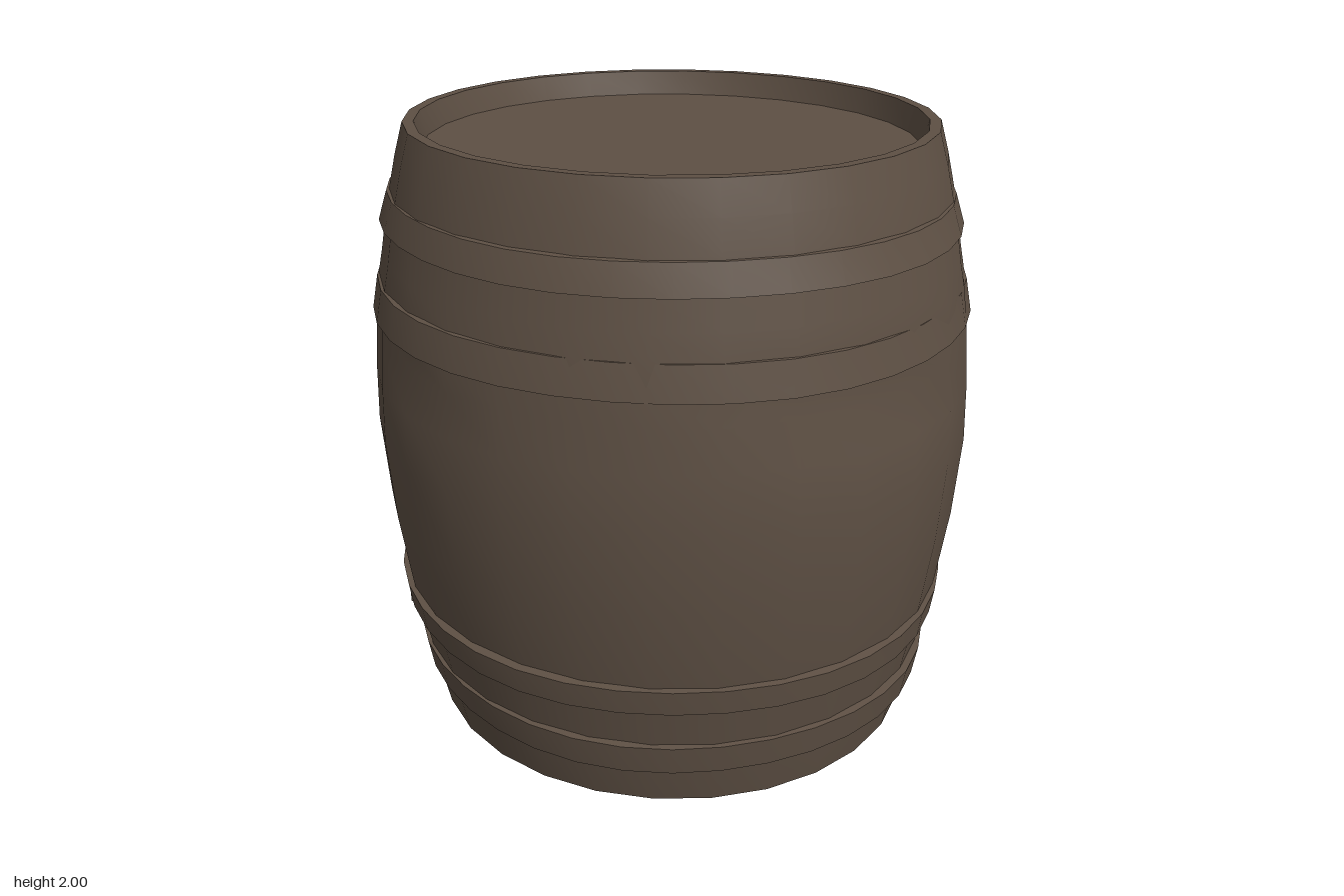
import * as THREE from 'three';
import { toCreasedNormals } from 'three/addons/utils/BufferGeometryUtils.js';

const SIDES = 28;
const DEPTH = 0.97; // the barrel is slightly narrower front to back

// Revolve a profile of [radius, y] pairs, then push the skin in and out by offset(angle, y)
function turned(points, offset, sides = SIDES) {
  const geo = new THREE.LatheGeometry(points.map(([r, y]) => new THREE.Vector2(r, y)), sides);
  const p = geo.attributes.position;
  for (let i = 0; i < p.count; i++) {
    const x = p.getX(i), y = p.getY(i), z = p.getZ(i);
    const r = Math.hypot(x, z);
    const k = r > 0.01 ? 1 + offset(Math.atan2(x, z), y) / r : 1;
    p.setXYZ(i, x * k, y, z * k * DEPTH);
  }
  return toCreasedNormals(geo, 0.6);
}

export function createModel() {
  const barrel = new THREE.Group();
  barrel.name = 'barrel';
  const wood = new THREE.MeshStandardMaterial({ color: 0x5e5044 });
  wood.name = 'dark wood';
  const add = (name, geo) => {
    const mesh = new THREE.Mesh(geo, wood);
    mesh.name = name;
    barrel.add(mesh);
  };

  // Bulging staves with a rim at each end, with a few narrow dents below the upper hoops
  const wear = (a, y) => {
    const height = Math.exp(-(((y - 1.34) / 0.1) ** 2));
    const streak = (0.5 + 0.5 * Math.sin(a * 7 + 2 * Math.sin(a * 3))) ** 4;
    return -0.025 * height * streak;
  };
  add('staves', turned([
    [0.785, 0.08], [0.8, 0], [0.835, 0], [0.868, 0.15], [0.887, 0.25], [0.913, 0.38],
    [0.935, 0.5], [0.97, 0.75], [0.99, 1.02], [0.984, 1.2], [0.973, 1.34], [0.966, 1.42],
    [0.95, 1.53], [0.935, 1.6], [0.917, 1.7], [0.896, 1.8], [0.872, 1.9], [0.843, 2],
    [0.808, 2], [0.785, 1.91],
  ], wear));

  // Recessed heads
  add('topHead', turned([[0.79, 1.92], [0, 1.92]], () => 0));
  add('bottomHead', turned([[0, 0.07], [0.79, 0.07]], () => 0));

  // Hoops: bottom y, top y, outer radius at bottom and top, phase of the unevenness
  const hoops = [
    ['lowestHoop', 0.14, 0.25, 0.882, 0.9, 0.4],
    ['lowerHoop', 0.39, 0.485, 0.937, 0.95, 1.7],
    ['upperHoop', 1.415, 1.53, 0.978, 0.957, 3.1],
    ['highestHoop', 1.7, 1.8, 0.935, 0.905, 1.2],
  ];
  hoops.forEach(([name, y0, y1, r0, r1, phase]) => {
    const uneven = (a) => 0.005 * Math.sin(a * 5 + phase) + 0.005 * Math.sin(a + phase);
    add(name, turned([[r0 - 0.07, y0 + 0.01], [r0, y0], [r1, y1 - 0.008], [r1 - 0.07, y1]], uneven, 36));
  });

  // Bent end of the lowest hoop, sticking out on one side
  const bentEnd = new THREE.BoxGeometry(0.13, 0.11, 0.07);
  const p = bentEnd.attributes.position;
  for (let i = 0; i < p.count; i++) {
    if (p.getZ(i) > 0) p.setX(i, p.getX(i) * 0.5); // narrower at its outer edge
  }
  const angle = Math.atan2(-0.94, 0.36);
  bentEnd.rotateY(angle).translate(0.945 * Math.sin(angle), 0.21, 0.945 * Math.cos(angle));
  add('bentHoopEnd', bentEnd.toNonIndexed());
  barrel.getObjectByName('bentHoopEnd').geometry.computeVertexNormals();

  return barrel;
}
